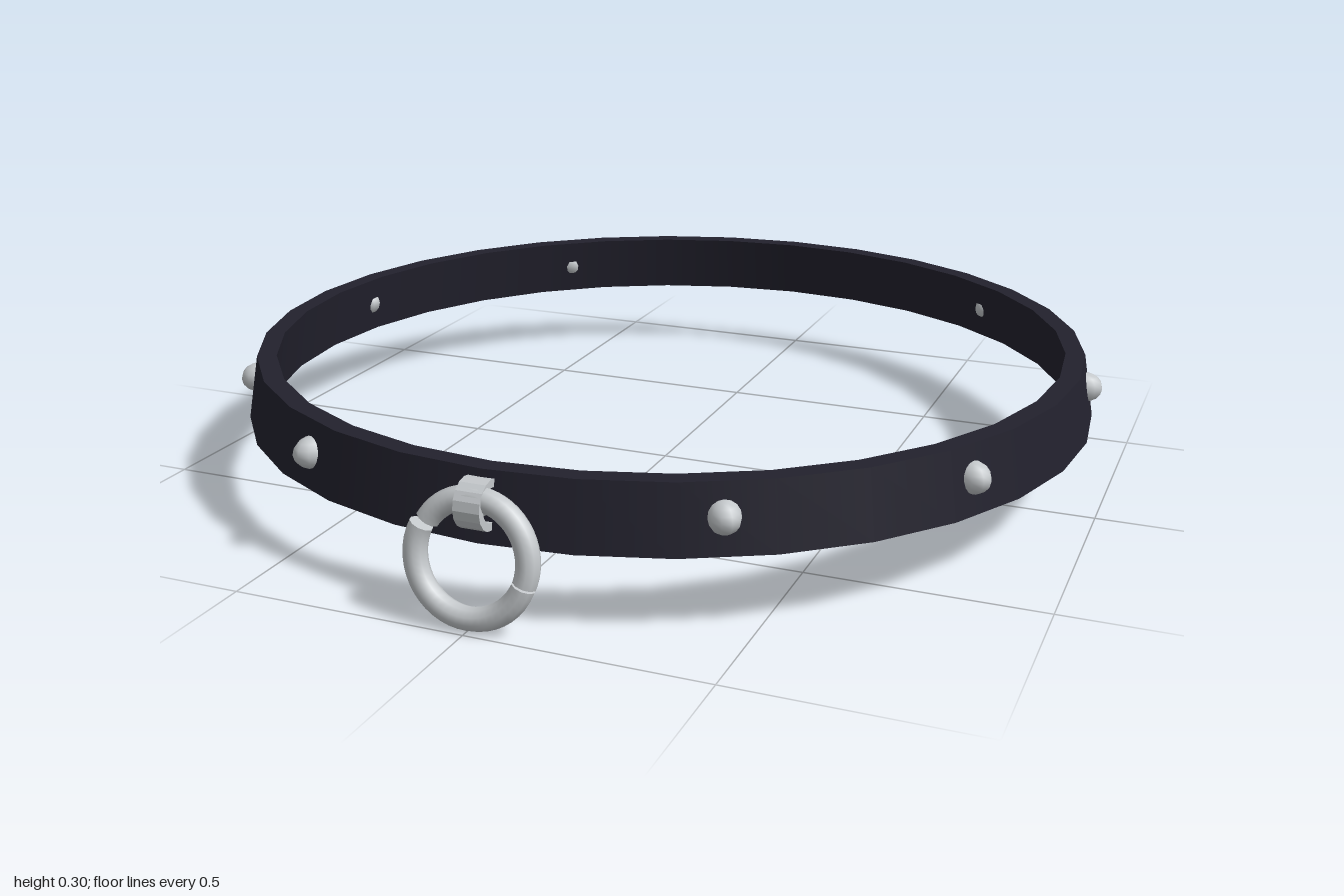
import * as THREE from 'three';
import { mergeGeometries } from 'three/addons/utils/BufferGeometryUtils.js';

const leather = new THREE.MeshStandardMaterial({ color: 0x22212d });
leather.name = 'dark leather';
const metal = new THREE.MeshStandardMaterial({ color: 0xc4c8cb });
metal.name = 'pale metal';

const CENTER_Z = -0.035;
const STUD_Y = 0.232;
const STUD_RADIUS = 0.94;

function addMesh(parent, name, geometry, material, x = 0, y = 0, z = 0) {
  const mesh = new THREE.Mesh(geometry, material);
  mesh.name = name;
  mesh.position.set(x, y, z);
  parent.add(mesh);
  return mesh;
}

// Thick conical band: one lathe per edge keeps the rims sharp
function bandGeometry() {
  const profile = [[0.965, 0.16], [0.94, 0.3], [0.897, 0.3], [0.922, 0.16]]
    .map(([r, y]) => new THREE.Vector2(r, y));
  return mergeGeometries(profile.map((p, i) =>
    new THREE.LatheGeometry([p, profile[(i + 1) % profile.length]], 32)));
}

// Part of a ring with closed ends, angles in degrees
function arcGeometry(from, to, radius, tube) {
  const start = THREE.MathUtils.degToRad(from);
  const sweep = THREE.MathUtils.degToRad(to - from);
  const arc = new THREE.TorusGeometry(radius, tube, 10, 24, sweep);
  const startCap = new THREE.CircleGeometry(tube, 10).rotateX(Math.PI / 2).translate(radius, 0, 0);
  const endCap = new THREE.CircleGeometry(tube, 10).rotateX(-Math.PI / 2)
    .translate(radius, 0, 0).rotateZ(sweep);
  return mergeGeometries([arc, startCap, endCap]).rotateZ(start);
}

// Short wide loop that holds the ring, its axis along x
function loopGeometry(outer, inner, width) {
  const shape = new THREE.Shape().absarc(0, 0, outer, 0, Math.PI * 2);
  shape.holes.push(new THREE.Path().absarc(0, 0, inner, 0, Math.PI * 2, true));
  return new THREE.ExtrudeGeometry(shape, { depth: width, bevelEnabled: false, curveSegments: 8 })
    .translate(0, 0, -width / 2).rotateY(Math.PI / 2);
}

export function createModel() {
  const model = new THREE.Group();
  model.name = 'studdedCollar';

  addMesh(model, 'band', bandGeometry(), leather, 0, 0, CENTER_Z);

  // Four mirrored pairs of studs that pass through the band, measured from the front
  const studs = new THREE.Group();
  studs.name = 'studs';
  model.add(studs);
  const studGeometry = new THREE.SphereGeometry(0.034, 10, 8).scale(1, 1, 1.26);
  for (const degrees of [27.8, 60, 99.8, 140.3]) {
    for (const side of [1, -1]) {
      const a = THREE.MathUtils.degToRad(degrees) * side;
      const stud = addMesh(studs, side > 0 ? 'leftStud' : 'rightStud', studGeometry, metal,
        Math.sin(a) * STUD_RADIUS, STUD_Y, CENTER_Z + Math.cos(a) * STUD_RADIUS);
      stud.rotation.y = a;
    }
  }

  // Hanging ring made of two arcs, leaning forward at the bottom
  const ring = new THREE.Group();
  ring.name = 'hangingRing';
  ring.position.set(0, 0.142, 0.957);
  ring.rotation.x = -0.16;
  model.add(ring);
  addMesh(ring, 'upperArc', arcGeometry(-18, 148, 0.114, 0.024), metal, 0.004, 0.001, 0);
  addMesh(ring, 'lowerArc', arcGeometry(155, 341, 0.117, 0.024), metal);

  // Loop through the band with a rivet on the inside
  addMesh(model, 'ringLoop', loopGeometry(0.05, 0.034, 0.055), metal, 0, 0.237, 0.92);
  addMesh(model, 'loopRivet', new THREE.SphereGeometry(0.034, 10, 8), metal, 0, STUD_Y, 0.896);

  return model;
}
